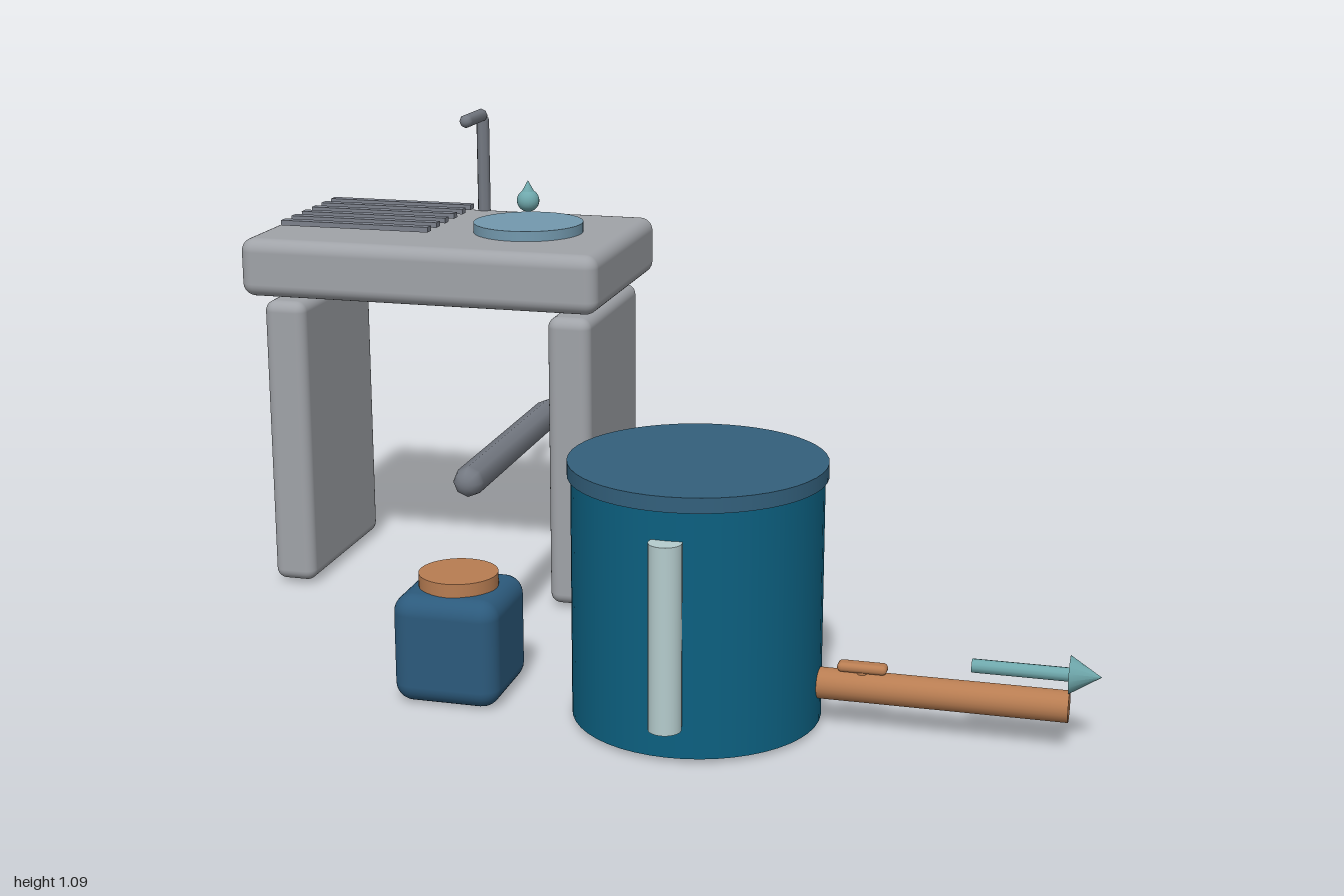
import * as THREE from 'three';
import { RoundedBoxGeometry } from 'three/addons/geometries/RoundedBoxGeometry.js';

const mat = (color) => new THREE.MeshStandardMaterial({ color });
const stone = mat(0xa0a3a8), steel = mat(0x747982), slatGrey = mat(0x7c818c);
const tankBlue = mat(0x0c6080), lidBlue = mat(0x33607c), jugBlue = mat(0x2c5a7c);
const copper = mat(0xb87d52), teal = mat(0x6fa8ac), basinBlue = mat(0x7399ae), pale = mat(0xb5cccd);

export function createModel() {
  const model = new THREE.Group();

  const add = (name, geometry, material, x, y, z, parent = model) => {
    const mesh = new THREE.Mesh(geometry, material);
    mesh.name = name;
    mesh.position.set(x, y, z);
    parent.add(mesh);
    return mesh;
  };
  const rounded = (w, h, d, r) => new RoundedBoxGeometry(w, h, d, 4, r);
  const cylinder = (r, h, sides = 48) => new THREE.CylinderGeometry(r, r, h, sides);
  // Round-ended bar; length includes the ends
  const bar = (r, length) => new THREE.CapsuleGeometry(r, length - 2 * r, 6, 8);

  // Arrow built along +y from the origin
  const arrow = (name, shaft, shaftR, head, headR) => {
    const group = new THREE.Group();
    group.name = name;
    add('arrowShaft', cylinder(shaftR, shaft, 12), teal, 0, shaft / 2, 0, group);
    add('arrowHead', new THREE.ConeGeometry(headR, head, 16), teal, 0, shaft + head / 2, 0, group);
    model.add(group);
    return group;
  };

  // Sink counter on two slab legs
  add('counterTop', rounded(0.845, 0.134, 0.523, 0.03), stone, -0.578, 0.772, -0.379);
  for (const x of [-0.919, -0.236])
    add('counterLeg', rounded(0.1, 0.677, 0.423, 0.025), stone, x, 0.347, -0.38);

  // Draining slats
  for (let i = 0; i < 6; i++)
    add('drainSlat', new THREE.BoxGeometry(0.358, 0.012, 0.024), slatGrey, -0.765, 0.858, -0.55 + i * 0.06);

  // Basin and water drop
  add('basin', cylinder(0.127, 0.03), basinBlue, -0.39, 0.847, -0.379);
  add('dropBody', new THREE.SphereGeometry(0.026, 20, 14), teal, -0.39, 0.911, -0.379);
  add('dropTip', new THREE.ConeGeometry(0.022, 0.04, 20), teal, -0.39, 0.938, -0.379);

  // Tap
  add('tapRiser', bar(0.016, 0.26), steel, -0.578, 0.942, -0.617);
  add('tapSpout', bar(0.016, 0.138), steel, -0.578, 1.071, -0.55).rotation.x = Math.PI / 2;

  // Waste pipe running forward from under the counter
  add('drainPipe', bar(0.033, 0.62), steel, -0.32, 0.432, -0.01).rotation.x = Math.PI / 2;

  // Collecting jug with its cap and inflow arrow
  add('jug', rounded(0.226, 0.232, 0.228, 0.04), jugBlue, -0.32, 0.116, 0.345);
  add('jugCap', cylinder(0.083, 0.03, 32), copper, -0.32, 0.245, 0.345);
  const inflow = arrow('inflowArrow', 0.13, 0.013, 0.06, 0.038);
  inflow.position.set(-0.32, 0.118, 0.07);
  inflow.rotation.x = Math.PI / 2;

  // Tank, lid and level gauge
  add('tank', cylinder(0.254, 0.504), tankBlue, 0.188, 0.26, 0.343);
  add('tankLid', cylinder(0.261, 0.031), lidBlue, 0.188, 0.525, 0.343);
  add('levelGauge', cylinder(0.033, 0.38, 24), pale, 0.188, 0.261, 0.607);

  // Outlet pipe with lever valve and outflow arrow
  add('outletPipe', cylinder(0.032, 0.52, 24), copper, 0.677, 0.091, 0.343).rotation.z = -Math.PI / 2;
  add('valveStem', cylinder(0.014, 0.06, 12), copper, 0.528, 0.1, 0.343);
  add('valveLever', rounded(0.1, 0.02, 0.032, 0.0095), copper, 0.528, 0.132, 0.343);
  const outflow = arrow('outflowArrow', 0.19, 0.014, 0.062, 0.038);
  outflow.position.set(0.745, 0.158, 0.343);
  outflow.rotation.z = -Math.PI / 2;

  return model;
}
